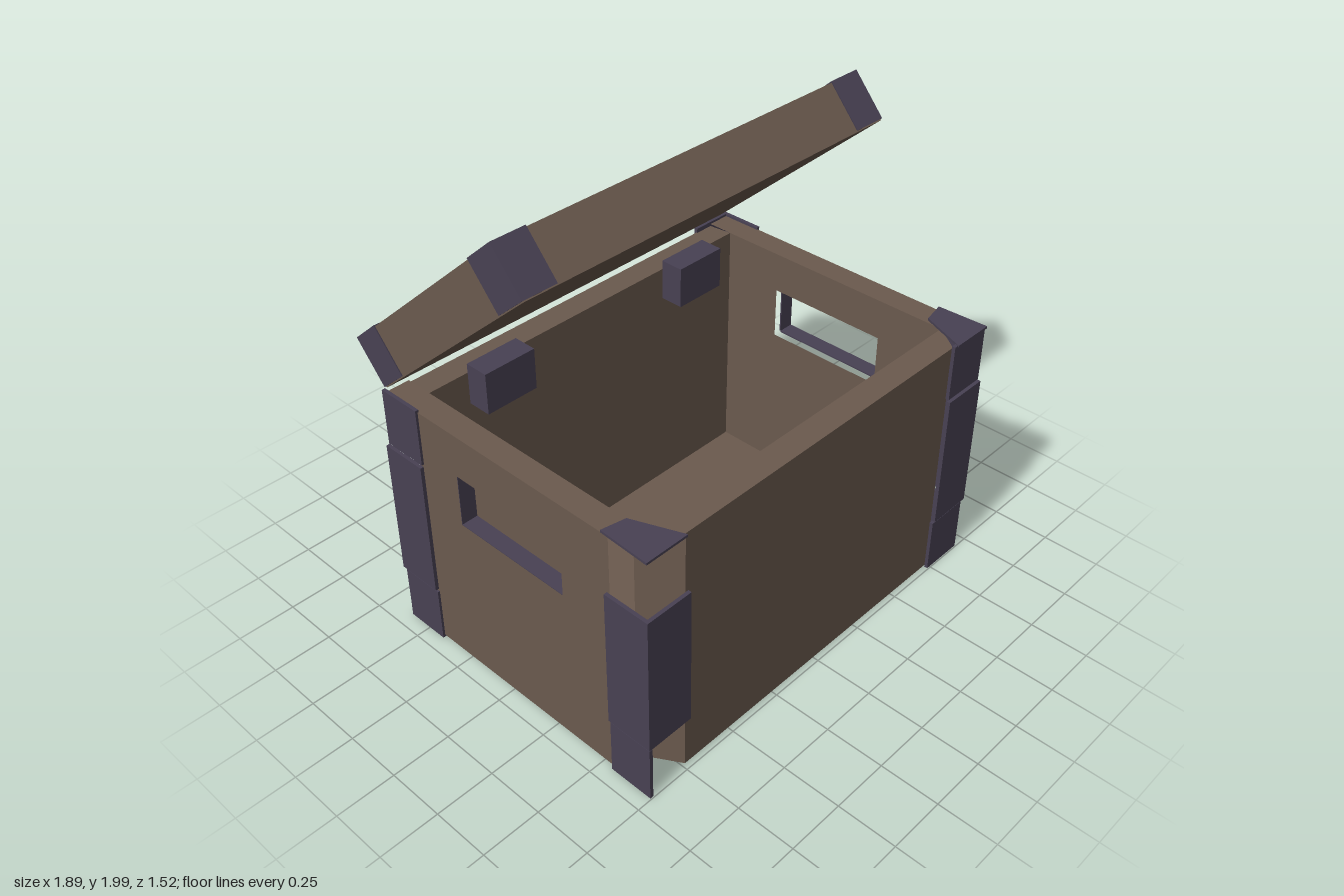
import * as THREE from 'three';

const make = (name, color, side = THREE.FrontSide) => {
  const m = new THREE.MeshStandardMaterial({ color, side });
  m.name = name;
  return m;
};

export function createModel() {
  const root = new THREE.Group();
  root.name = 'openChest';
  const brown = make('weatheredBrown', 0x6b5a4e);
  const purple = make('dullPurpleMetal', 0x484153);

  const add = (name, geo, mat, parent = root) => {
    const m = new THREE.Mesh(geo, mat);
    m.name = name;
    parent.add(m);
    return m;
  };
  // box given by its minimum and maximum corners
  const box = (name, mat, [x0, y0, z0], [x1, y1, z1], parent = root) =>
    add(name, new THREE.BoxGeometry(x1 - x0, y1 - y0, z1 - z0)
      .translate((x0 + x1) / 2, (y0 + y1) / 2, (z0 + z1) / 2), mat, parent);
  // single sheet, corners anticlockwise as seen from its front
  const sheet = (name, mat, a, b, c, d) => {
    const g = new THREE.BufferGeometry();
    g.setAttribute('position', new THREE.Float32BufferAttribute([a, b, c, d].flat(), 3));
    g.setIndex([0, 1, 2, 0, 2, 3]);
    g.computeVertexNormals();
    return add(name, g, mat);
  };
  // upright sheet running from (x0,z0) to (x1,z1); its front is on the right-hand run
  const upright = (name, mat, x0, z0, x1, z1, y0, y1) =>
    sheet(name, mat, [x0, y0, z0], [x1, y0, z1], [x1, y1, z1], [x0, y1, z0]);

  const rect = (P, u0, v0, u1, v1) => {
    const p = new P();
    p.moveTo(u0, v0); p.lineTo(u1, v0); p.lineTo(u1, v1); p.lineTo(u0, v1); p.closePath();
    return p;
  };

  // front and back walls, hollow between their outer and inner skins
  const H = 1.12, IN = 0.82, FZ = 0.62, BZ = -0.48;
  upright('frontPanel', brown, -0.74, 0.73, 0.74, 0.73, 0.02, H);
  upright('backPanel', brown, 0.74, -0.6, -0.74, -0.6, 0.02, H - 0.01);
  upright('frontInnerWall', brown, IN, FZ, -IN, FZ, 0.04, H);
  upright('backInnerWall', brown, -IN, BZ, IN, BZ, 0.04, H);
  // recessed corners left bare where the metal is missing
  upright('bareFrontCorner', brown, -0.83, 0.58, -0.74, 0.73, 0.02, H);
  upright('bareBackCorner', brown, -0.74, -0.5, -0.93, -0.6, 0.02, H - 0.01);

  // side walls with a recessed hand hold
  const hz0 = -0.21, hz1 = 0.33, hy0 = 0.72, hy1 = 0.945;
  for (const s of [1, -1]) {
    const wall = (name, mat, x, facing, z0, z1, y0, y1, hole) => {
      const u = z => -facing * z;
      const shape = rect(THREE.Shape, u(z0), y0, u(z1), y1);
      if (hole) shape.holes.push(rect(THREE.Path, u(hz0), hy0, u(hz1), hy1));
      return add(name, new THREE.ShapeGeometry(shape).rotateY(facing * Math.PI / 2).translate(x, 0, 0), mat);
    };
    wall('sideOuterWall', brown, s * 0.925, s, -0.44, 0.56, 0.02, H, true);
    wall('sideInnerWall', brown, s * IN, -s, BZ, FZ, 0.04, H, true);
    wall('handHoldFrame', brown, s * 0.932, s, hz0 - 0.02, hz1 + 0.02, hy0 - 0.02, hy1 + 0.02, true);
    wall('handHoldBack', brown, s * 0.86, s, hz0, hz1, hy0, hy1, false);
    // purple reveal round the hand hold
    const a = Math.min(s * 0.86, s * 0.93), b = Math.max(s * 0.86, s * 0.93), t = 0.006;
    box('handHoldSill', purple, [a, hy0 - t, hz0], [b, hy0, hz1]);
    box('handHoldHead', purple, [a, hy1, hz0], [b, hy1 + t, hz1]);
    box('handHoldRearJamb', purple, [a, hy0, hz0 - t], [b, hy1, hz0]);
    box('handHoldFrontJamb', purple, [a, hy0, hz1], [b, hy1, hz1 + t]);
    // top rim of the side
    const r0 = Math.min(s * IN, s * 0.925), r1 = Math.max(s * IN, s * 0.925);
    sheet('sideRim', brown, [r0, H, 0.62], [r1, H, 0.62], [r1, H, -0.6], [r0, H, -0.6]);
  }
  sheet('frontRim', brown, [-0.75, H - 0.01, 0.73], [0.75, H - 0.01, 0.73], [IN, H, FZ], [-IN, H, FZ]);
  sheet('backRim', brown, [-IN, H, BZ], [IN, H, BZ], [IN, H - 0.01, -0.6], [-IN, H - 0.01, -0.6]);

  // floor and underside
  sheet('floor', brown, [-IN, 0.05, FZ], [IN, 0.05, FZ], [IN, 0.05, BZ], [-IN, 0.05, BZ]);
  sheet('underside', brown, [-0.92, 0.015, -0.6], [0.92, 0.015, -0.6], [0.92, 0.015, 0.73], [-0.92, 0.015, 0.73]);

  // corner straps in three lengths: bottom, middle, top
  const spans = [[0.01, 0.255, 0], [0.27, 0.875, 0.008], [0.885, 1.13, 0]];
  const straps = [
    { sx: 1, sz: 1, end: [0, 1, 2], flank: [0, 1, 2] },
    { sx: 1, sz: -1, end: [0, 1, 2], flank: [0, 1, 2] },
    { sx: -1, sz: -1, end: [], flank: [0, 1, 2] },
    { sx: -1, sz: 1, end: [1], flank: [0, 1] },
  ];
  for (const { sx, sz, end, flank } of straps) {
    const zOut = sz > 0 ? 0.745 : -0.61;
    for (const i of end) {
      const [y0, y1, o] = spans[i];
      const xa = sx * 0.735, xb = sx * (0.932 + o), za = zOut + sz * o, zb = za - sz * 0.015;
      box('cornerStrapEnd', purple, [Math.min(xa, xb), y0, Math.min(za, zb)], [Math.max(xa, xb), y1, Math.max(za, zb)]);
    }
    for (const i of flank) {
      const [y0, y1, o] = spans[i];
      const xa = sx * (0.935 + o), xb = xa - sx * 0.015, za = zOut + sz * o, zb = zOut - sz * 0.195;
      box('cornerStrapFlank', purple, [Math.min(xa, xb), y0, Math.min(za, zb)], [Math.max(xa, xb), y1, Math.max(za, zb)]);
    }
  }

  // triangular caps on the front top corners
  for (const s of [1, -1]) {
    const tri = new THREE.Shape([[0.75, -0.75], [0.94, -0.75], [0.93, -0.53], [0.83, -0.55]]
      .map(([x, y]) => new THREE.Vector2(s * x, y)));
    add('cornerCap', new THREE.ExtrudeGeometry(tri, { depth: 0.01, bevelEnabled: false })
      .rotateX(-Math.PI / 2).translate(0, H + 0.004, 0), purple);
    // hinge blocks inside the back wall
    const x = s * 0.52;
    box('hingeBlock', purple, [x - 0.12, 0.98, BZ], [x + 0.12, 1.16, -0.375]);
  }

  // tilted lid, modelled flat with its hinge edge at the origin
  const lid = new THREE.Group();
  lid.name = 'lid';
  lid.position.set(0, 1.12, -0.62);
  lid.rotation.x = -Math.atan2(0.72, 0.82);
  root.add(lid);
  const W = 0.905, T = 0.208, L = 1.085;
  box('lidSlab', brown, [-W, 0, 0], [W, T, L], lid);
  // rounded metal corners on the lid
  for (const sx of [1, -1]) for (const back of [true, false]) {
    const c = new THREE.Shape();
    const sy = back ? -1 : 1;
    c.moveTo(0, 0);
    c.lineTo(-sx * 0.15, 0);
    c.lineTo(-sx * 0.14, sy * 0.05);
    c.quadraticCurveTo(-sx * 0.13, sy * 0.14, -sx * 0.05, sy * 0.145);
    c.lineTo(0, sy * 0.16);
    c.closePath();
    add('lidCorner', new THREE.ExtrudeGeometry(c, { depth: T, bevelEnabled: false, curveSegments: 5 })
      .rotateX(-Math.PI / 2).translate(sx * (W + 0.005), 0.005, back ? -0.005 : L + 0.005), purple, lid);
  }

  // faceted lumps lying on the floor
  const lumps = [[-0.56, 0.45], [-0.1, 0.45], [0.24, 0.42], [0.6, 0.44],
    [-0.2, 0.28], [0.2, 0.24], [-0.62, 0.12], [0.6, 0.12]];
  const lumpMat = brown.clone();
  lumpMat.name = 'facetedBrown';
  lumpMat.flatShading = true;
  lumps.forEach(([x, z], i) => {
    const m = add('lump', new THREE.IcosahedronGeometry(0.13, 0), lumpMat);
    m.position.set(x, 0.13, z);
    m.rotation.set(i * 0.7, i * 1.3, 0);
    m.scale.y = 0.8;
  });
  box('looseFitting', purple, [-0.04, 0.06, 0.18], [0.07, 0.2, 0.33]);
  return root;
}
